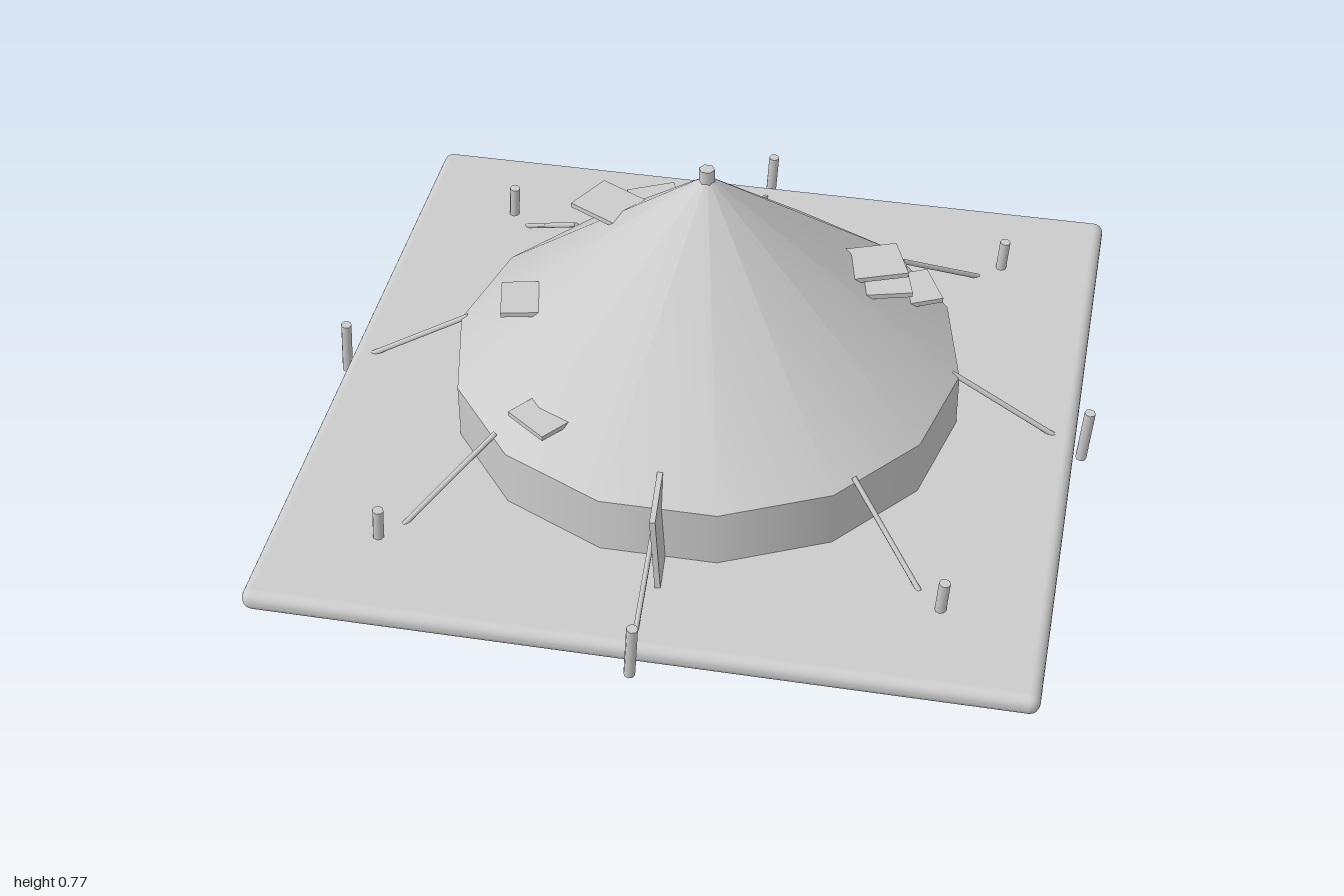
import * as THREE from 'three';
import { RoundedBoxGeometry } from 'three/addons/geometries/RoundedBoxGeometry.js';

export function createModel() {
  const model = new THREE.Group();
  model.name = 'tent';
  const canvas = new THREE.MeshStandardMaterial({ color: 0xcccccc });
  canvas.name = 'light grey';
  const C = -0.007; // shared centre of tent and ground in x and z

  const add = (name, geometry, x, y, z) => {
    const mesh = new THREE.Mesh(geometry, canvas);
    mesh.name = name;
    mesh.position.set(x, y, z);
    model.add(mesh);
    return mesh;
  };

  // A round rod between two points
  const rod = (name, a, b, radius, sides) => {
    const dir = b.clone().sub(a);
    const mid = a.clone().add(b).multiplyScalar(0.5);
    const mesh = add(name, new THREE.CylinderGeometry(radius, radius, dir.length(), sides), mid.x, mid.y, mid.z);
    mesh.quaternion.setFromUnitVectors(new THREE.Vector3(0, 1, 0), dir.normalize());
  };

  // Ground sheet with rounded rim
  add('groundSheet', new RoundedBoxGeometry(1.91, 0.056, 1.91, 3, 0.026), C, 0.042, C);

  // Fourteen-sided wall and conical roof, corners on the x axis
  const wall = add('wall', new THREE.CylinderGeometry(0.65, 0.65, 0.206, 14), C, 0.117, C);
  wall.rotation.y = Math.PI / 2;
  const roof = add('roof', new THREE.CylinderGeometry(0.006, 0.65, 0.53, 14, 1), C, 0.485, C);
  roof.rotation.y = Math.PI / 2;

  // Top of the centre pole
  const pole = add('poleTip', new THREE.CylinderGeometry(0.02, 0.02, 0.06, 6), C, 0.745, C);
  pole.rotation.y = Math.PI / 2;

  // Eight guy ropes and leaning stakes
  for (let i = 0; i < 8; i++) {
    const a = (i * Math.PI) / 4;
    const at = (r, y) => new THREE.Vector3(C + r * Math.cos(a), y, C + r * Math.sin(a));
    rod('guyRope', at(0.63, 0.23), at(0.9, 0.066), 0.007, 6);
    const foot = at(0.974, 0.003);
    const head = foot.clone().add(new THREE.Vector3(0.012, 0.159, 0.012));
    rod('stake', foot, head, 0.014, 8);
  }

  // Open door flap
  const door = add('doorFlap', new THREE.BoxGeometry(0.014, 0.22, 0.195), 0.0, 0.167, 0.643);
  door.rotation.set(0, 0.1, 0.05);

  // Roof patches laid flat: direction x, direction z, outer radius, height
  const patches = [
    [-0.3, -0.16, 0.4, 0.53],
    [-0.46, 0.1, 0.525, 0.39],
    [-0.335, 0.445, 0.605, 0.303],
    [-0.245, -0.495, 0.59, 0.325],
    [0.4, -0.157, 0.5, 0.435],
    [0.43, -0.118, 0.508, 0.412],
    [0.5, -0.24, 0.605, 0.306],
  ];
  for (const [dx, dz, outer, y] of patches) {
    const a = Math.atan2(dz, dx);
    const r = outer - 0.07;
    const patch = add('roofPatch', new THREE.BoxGeometry(0.14, 0.013, 0.13), r * Math.cos(a), y, r * Math.sin(a));
    patch.rotation.y = -a;
  }

  return model;
}
